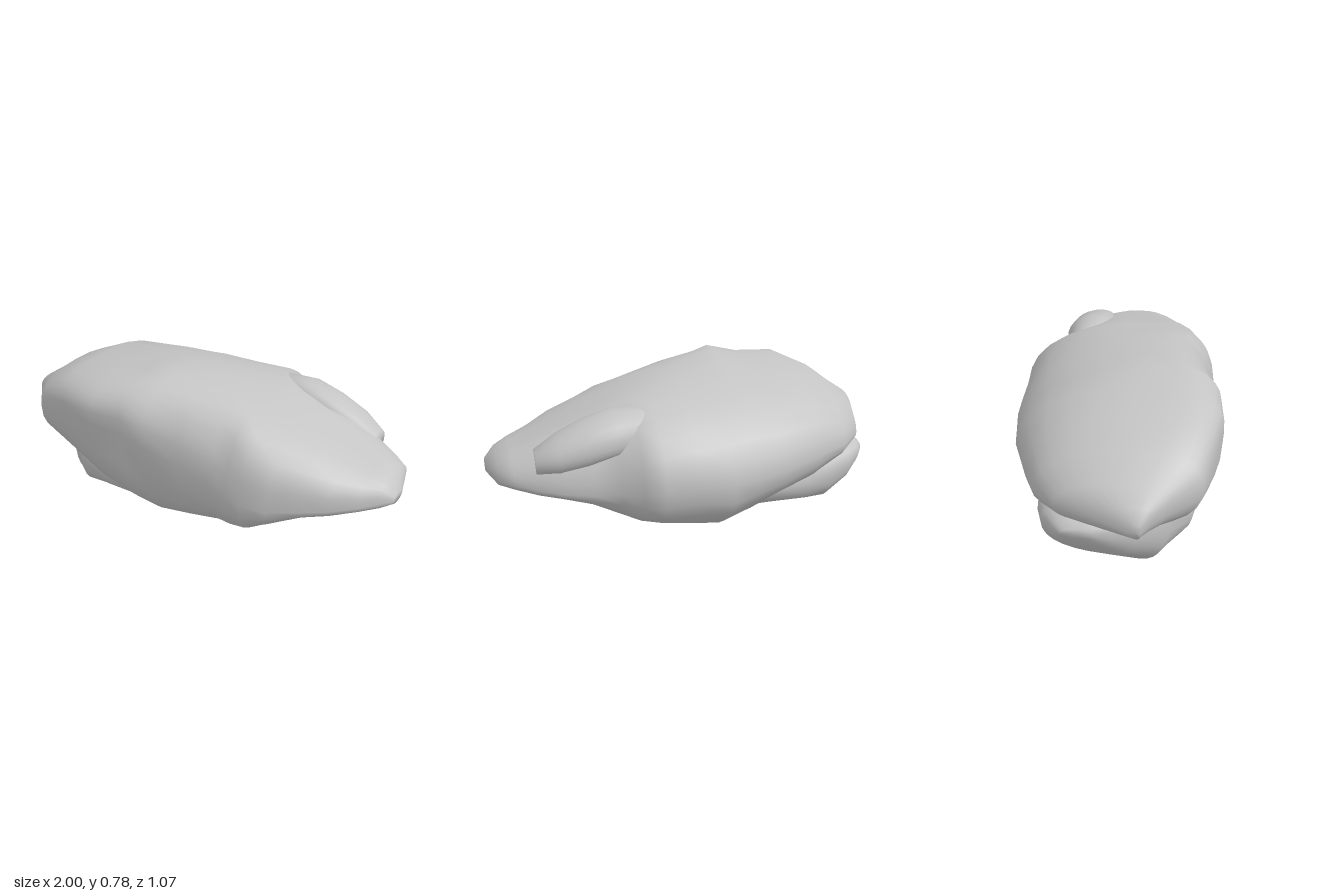
import * as THREE from 'three';

const SIDES = 28;
const power = (v, p) => Math.sign(v) * Math.pow(Math.abs(v), p);

// Gentle uneven weathering, as a small scale factor about the section's centre
function weather(x, y, z) {
  return 0.014 * Math.sin(9 * x + 5 * z + 1) + 0.014 * Math.sin(13 * y - 10 * z + 6 * x)
    + 0.014 * Math.sin(19 * x - 15 * z + 9 * y);
}

// Loft of sections along x: [x, bottom, top, back, front, widest y, crest z, keel z]
// corners(x): squareness of front top, back top, back bottom, front bottom (lower is squarer)
// tilt(x): how far the front edge is raised and the back edge lowered, per unit of height
function loft(sections, corners, tilt) {
  const pos = [], index = [];
  for (const [x, yb, yt, zb, zf, ym, zt, zk] of sections) {
    for (let j = 0; j < SIDES; j++) {
      const a = (j / SIDES) * Math.PI * 2;
      const p = corners(x)[Math.floor((4 * j) / SIDES)];
      const s = power(Math.sin(a), p), c = power(Math.cos(a), p);
      const mid = s >= 0 ? zt : zk;
      const lean = tilt(x) * (yt - yb) * c * (1 - Math.abs(s));
      const y = ym + lean + s * (s >= 0 ? yt - ym : ym - yb);
      const z = mid + c * (c >= 0 ? zf - mid : mid - zb);
      const k = 1 + weather(x, y, z) * (1 - 0.5 * Math.abs(x));
      const zc = (zb + zf) / 2;
      pos.push(x, Math.max(0, ym + (y - ym) * k), zc + (z - zc) * k);
    }
  }
  const last = sections.length - 1;
  for (let i = 0; i < last; i++) {
    for (let j = 0; j < SIDES; j++) {
      const n = (j + 1) % SIDES, a = i * SIDES, b = a + SIDES;
      index.push(a + j, b + j, a + n, b + j, b + n, a + n);
    }
  }
  // End caps
  for (const e of [0, last]) {
    const [x, yb, yt, zb, zf] = sections[e];
    const centre = pos.length / 3, o = e * SIDES;
    pos.push(x, (yb + yt) / 2, (zb + zf) / 2);
    for (let j = 0; j < SIDES; j++) {
      const n = (j + 1) % SIDES;
      if (e === 0) index.push(centre, o + j, o + n);
      else index.push(centre, o + n, o + j);
    }
  }
  const g = new THREE.BufferGeometry();
  g.setAttribute('position', new THREE.Float32BufferAttribute(pos, 3));
  g.setIndex(index);
  g.computeVertexNormals();
  return g;
}

export function createModel() {
  const group = new THREE.Group();
  group.name = 'boulder';
  const stone = new THREE.MeshStandardMaterial({ color: 0xc4c4c4, side: THREE.DoubleSide });
  stone.name = 'grey stone';
  const add = (name, geometry) => {
    const mesh = new THREE.Mesh(geometry, stone);
    mesh.name = name;
    group.add(mesh);
  };

  // Main body: full front shoulder, square front foot in the middle, back sloping away
  add('mainRock', loft([
    [-1.0, 0.38, 0.46, 0.17, 0.23, 0.42, 0.21, 0.21],
    [-0.96, 0.36, 0.515, 0.05, 0.27, 0.44, 0.19, 0.18],
    [-0.88, 0.33, 0.57, -0.18, 0.35, 0.45, 0.16, 0.12],
    [-0.77, 0.27, 0.65, -0.3, 0.47, 0.46, 0.18, 0.1],
    [-0.6, 0.19, 0.73, -0.385, 0.515, 0.47, 0.22, 0.1],
    [-0.4, 0.11, 0.745, -0.45, 0.53, 0.47, 0.25, 0.1],
    [-0.24, 0.045, 0.785, -0.49, 0.5, 0.45, 0.28, 0.06],
    [-0.12, 0, 0.77, -0.52, 0.475, 0.43, 0.2, 0],
    [0.05, 0.025, 0.755, -0.53, 0.45, 0.4, 0.1, 0.02],
    [0.22, 0.065, 0.725, -0.54, 0.43, 0.37, 0.02, 0.08],
    [0.31, 0.085, 0.705, -0.49, 0.43, 0.35, -0.02, 0.1],
    [0.4, 0.115, 0.68, -0.405, 0.44, 0.33, -0.06, 0.12],
    [0.52, 0.19, 0.635, -0.375, 0.405, 0.32, -0.09, 0.1],
    [0.66, 0.25, 0.58, -0.345, 0.345, 0.335, -0.1, 0.05],
    [0.77, 0.275, 0.53, -0.3, 0.28, 0.345, -0.1, 0.02],
    [0.88, 0.3, 0.49, -0.24, 0.2, 0.36, -0.06, 0],
    [0.95, 0.315, 0.46, -0.19, 0.13, 0.37, -0.04, 0],
    [1.0, 0.345, 0.395, -0.03, 0.07, 0.37, 0.03, 0.03],
  ], (x) => [0.72, 1.02, 0.9, 0.6 + 0.3 * Math.min(1, 2 * x * x)],
  (x) => 0.13 * THREE.MathUtils.clamp(0.4 - 2 * x, 0, 1)));

  // Undercut slab below the thick end
  add('lowerSlab', loft([
    [-0.93, 0.29, 0.34, -0.14, 0.02, 0.31, -0.06, -0.06],
    [-0.9, 0.22, 0.37, -0.18, 0.1, 0.3, -0.03, -0.03],
    [-0.82, 0.12, 0.39, -0.25, 0.2, 0.28, 0, 0.05],
    [-0.71, 0.015, 0.4, -0.29, 0.31, 0.25, 0.03, 0.18],
    [-0.57, 0.035, 0.4, -0.31, 0.42, 0.22, 0.05, 0.2],
    [-0.4, 0.065, 0.36, -0.32, 0.44, 0.21, 0.05, 0.12],
    [-0.22, 0.05, 0.34, -0.3, 0.42, 0.2, 0.05, 0.1],
    [-0.08, 0.06, 0.3, -0.2, 0.39, 0.18, 0.05, 0.1],
  ], () => [0.85, 0.85, 0.85, 0.8], () => 0));

  // Low shelf along the back of the tapering end
  add('backShelf', loft([
    [0.24, 0.52, 0.68, -0.32, -0.14, 0.58, -0.21, -0.2],
    [0.4, 0.46, 0.69, -0.36, -0.11, 0.55, -0.21, -0.2],
    [0.54, 0.42, 0.65, -0.355, -0.11, 0.52, -0.21, -0.2],
    [0.67, 0.4, 0.59, -0.34, -0.13, 0.49, -0.22, -0.2],
    [0.78, 0.4, 0.52, -0.29, -0.16, 0.46, -0.22, -0.2],
  ], () => [0.75, 1, 0.9, 0.9], () => 0));

  return group;
}
